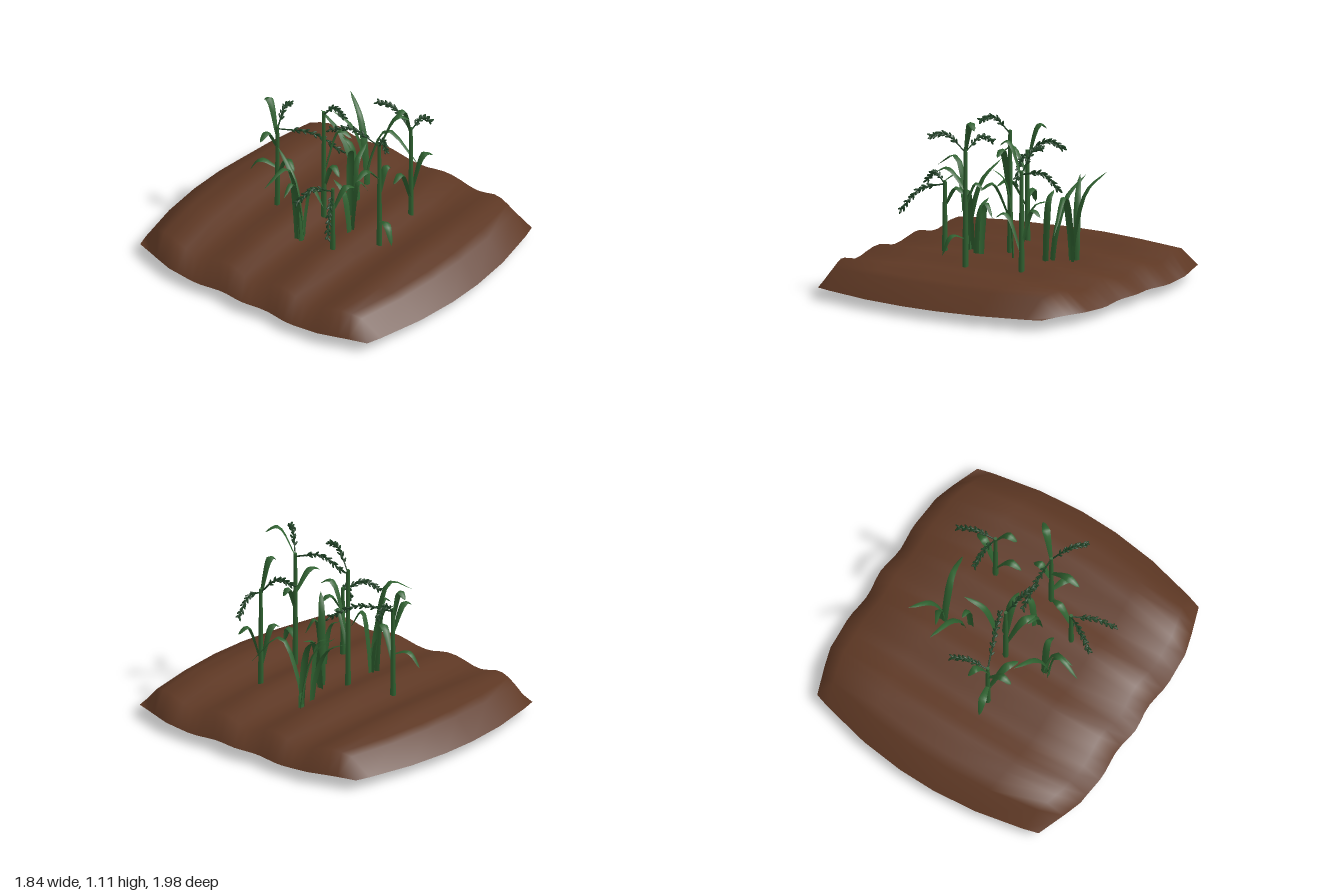
import * as THREE from 'three';
import { mergeGeometries } from 'three/addons/utils/BufferGeometryUtils.js';

const soilMat = new THREE.MeshStandardMaterial({ name: 'brown soil', color: 0x5e3824, side: THREE.DoubleSide });
const leafMat = new THREE.MeshStandardMaterial({ name: 'leaf green', color: 0x2f6130, side: THREE.DoubleSide });
const grainMat = new THREE.MeshStandardMaterial({ name: 'dark grain green', color: 0x1f4325 });

function part(name, geometry, material) {
  const mesh = new THREE.Mesh(geometry, material);
  mesh.name = name;
  return mesh;
}

function surface(pos, idx) {
  const g = new THREE.BufferGeometry();
  g.setAttribute('position', new THREE.Float32BufferAttribute(pos, 3));
  g.setIndex(idx);
  g.computeVertexNormals();
  return g;
}

// Open, furrowed soil sheet whose rim drops to its lower edge
function soil() {
  const rowCount = 26;
  const cols = [-1, -0.88, -0.5, -0.15, 0.15, 0.5, 0.88, 1];
  const pos = [], idx = [];
  for (let r = 0; r <= rowCount; r++) {
    const endRow = r === 0 || r === rowCount;
    const v = endRow ? Math.sign(r - 1) : ((r - rowCount / 2) / (rowCount / 2 - 1)) * 0.87;
    cols.forEach((u, c) => {
      const av = Math.abs(v), au = Math.abs(u);
      const wide = 0.91 - 0.11 * Math.max(0, (av - 0.64) / 0.36) + 0.012 * Math.cos(v * 15) * (1 - av);
      const x = u * wide, z = v * (0.995 - 0.125 * au * au);
      const ridge = 0.15 - 0.025 * Math.cos((Math.PI * 2 * z) / 0.43);
      const rim = endRow || au === 1;
      const y = rim ? 0.065 + 0.005 * Math.cos(z * 9) : 0.06 + ridge * (1 - 0.2 * (x / 0.8) ** 2);
      pos.push(x, y, z);
      if (r && c) {
        const d = r * cols.length + c, b = d - cols.length;
        idx.push(b - 1, d - 1, b, b, d - 1, d);
      }
    });
  }
  return part('soilBed', surface(pos, idx), soilMat);
}

// Folded blade swept along a curve, tapering to a point
function blade(points, width, baseWidth) {
  const curve = new THREE.CatmullRomCurve3(points);
  const first = points[0], last = points[points.length - 1];
  const side = new THREE.Vector3(first.z - last.z, 0, last.x - first.x).normalize();
  const n = 10, pos = [], idx = [];
  for (let i = 0; i <= n; i++) {
    const t = i / n, p = curve.getPoint(t), tan = curve.getTangent(t);
    const w = (width / 2) * (t < 0.5 ? baseWidth + (1 - baseWidth) * t * 2 : Math.sqrt((1 - t) * 2) * 0.98 + 0.02);
    const fold = new THREE.Vector3().crossVectors(side, tan).multiplyScalar(w * 0.45);
    for (const s of [-1, 0, 1]) {
      const q = p.clone().addScaledVector(side, s * w);
      if (s === 0) q.add(fold);
      pos.push(q.x, q.y, q.z);
    }
    if (i) for (const k of [0, 1]) {
      const a = i * 3 + k - 3;
      idx.push(a, a + 1, a + 3, a + 1, a + 4, a + 3);
    }
  }
  return part('leafBlade', surface(pos, idx), leafMat);
}

// Leaf growing from a stalk, arching up before its tip
function stalkLeaf(start, tip) {
  const peak = start.clone().lerp(tip, 0.6).setY(Math.max(start.y, tip.y) + 0.03);
  return blade([start, peak, tip], 0.05, 0.4);
}

// Tuft of blades rooted in the ground; each blade is [tipX, tipZ, peakY, tipY]
function tuft(x, z, blades) {
  const group = new THREE.Group();
  group.name = 'grassTuft';
  blades.forEach(([tipX, tipZ, peakY, tipY], i) => {
    const root = new THREE.Vector3(x + 0.02 * Math.cos(i * 2), 0.05, z + 0.02 * Math.sin(i * 2));
    const tip = new THREE.Vector3(tipX, tipY, tipZ);
    const middle = root.clone().lerp(tip, 0.14).setY(peakY * 0.62);
    const peak = root.clone().lerp(tip, 0.45).setY(peakY);
    group.add(blade([root, middle, peak, tip], 0.045, 0.8));
  });
  return group;
}

// Arching seed head: thin stem with spiralling grains
function seedHead(start, tip) {
  const mid = start.clone().lerp(tip, 0.55);
  mid.y += 0.06;
  const curve = new THREE.CatmullRomCurve3([start, mid, tip]);
  const pieces = [new THREE.TubeGeometry(curve, 8, 0.005, 4).toNonIndexed()];
  const up = new THREE.Vector3(0, 1, 0), count = 26;
  for (let i = 0; i < count; i++) {
    const t = 0.22 + 0.78 * (i / (count - 1));
    const tan = curve.getTangent(t), a = i * 2.4;
    const s = new THREE.Vector3().crossVectors(tan, up).normalize();
    const out = s.clone().multiplyScalar(Math.cos(a))
      .addScaledVector(new THREE.Vector3().crossVectors(s, tan), Math.sin(a));
    const dir = tan.clone().addScaledVector(out, 0.7).normalize();
    const grain = new THREE.SphereGeometry(1, 5, 4).toNonIndexed();
    grain.scale(0.007, 0.018, 0.007);
    grain.applyQuaternion(new THREE.Quaternion().setFromUnitVectors(up, dir));
    const p = curve.getPoint(t).addScaledVector(out, 0.01);
    grain.translate(p.x, p.y, p.z);
    pieces.push(grain);
  }
  return part('seedHead', mergeGeometries(pieces), grainMat);
}

// Stalk with leaves [startHeight, tipX, tipY, tipZ] and seed heads [tipX, tipY, tipZ]
function plant(name, x, z, bottom, top, leaves, heads) {
  const group = new THREE.Group();
  group.name = name;
  const stalk = new THREE.CylinderGeometry(0.011, 0.02, top - bottom, 6);
  stalk.translate(x, (top + bottom) / 2, z);
  group.add(part('stalk', stalk, leafMat));
  for (const [h, ...tip] of leaves) {
    group.add(stalkLeaf(new THREE.Vector3(x, h, z), new THREE.Vector3(...tip)));
  }
  for (const tip of heads) {
    group.add(seedHead(new THREE.Vector3(x, top - 0.02, z), new THREE.Vector3(...tip)));
  }
  return group;
}

export function createModel() {
  const model = new THREE.Group();
  model.name = 'cropPatch';
  model.add(soil());

  // Seed-bearing plants
  model.add(plant('tallFrontPlant', -0.06, 0.38, 0.01, 0.92,
    [[0.9, 0.08, 1.07, 0.5], [0.66, -0.27, 0.75, 0.37], [0.55, 0.06, 0.68, 0.37], [0.36, -0.13, 0.28, 0.53]],
    [[-0.21, 1.01, 0.55], [-0.09, 0.89, 0.02]]));
  model.add(plant('leftFrontPlant', 0.31, 0.33, 0, 0.82,
    [[0.78, 0.16, 0.96, 0.34], [0.35, 0.47, 0.56, 0.37], [0.3, 0.13, 0.51, 0.34]],
    [[0.56, 0.72, 0.29], [0.3, 0.91, 0.08]]));
  model.add(plant('rightFrontPlant', -0.31, 0.22, 0.05, 0.66,
    [[0.5, -0.15, 0.6, 0.26]],
    [[-0.54, 0.47, 0.36], [-0.52, 0.61, 0.1]]));
  model.add(plant('backPlant', -0.1, -0.37, 0.05, 0.76,
    [[0.6, -0.27, 0.73, -0.37], [0.4, -0.19, 0.56, -0.17], [0.46, -0.15, 0.4, -0.54], [0.68, -0.05, 0.87, -0.51]],
    [[0.12, 0.78, -0.44], [0.06, 0.64, 0.01]]));
  model.add(plant('centrePlant', -0.03, -0.07, 0.01, 0.95,
    [[0.5, 0, 0.82, 0.12], [0.4, -0.12, 0.6, 0.12]],
    [[-0.11, 1.04, 0.15]]));

  // Leafy tufts
  model.add(tuft(-0.3, -0.03,
    [[-0.57, -0.1, 0.74, 0.66], [-0.22, -0.27, 0.6, 0.71], [-0.48, -0.02, 0.63, 0.58], [-0.26, 0.11, 0.57, 0.45]]));
  model.add(tuft(0.26, -0.04, [[0.32, -0.37, 0.55, 0.66], [0.24, -0.14, 0.56, 0.6]]));
  model.add(tuft(0.41, -0.09, [[0.33, -0.29, 0.58, 0.68], [0.52, -0.3, 0.62, 0.72], [0.49, 0.25, 0.62, 0.42]]));
  model.add(tuft(0.08, 0.03, [[0.31, -0.01, 0.52, 0.57], [-0.02, 0.14, 0.68, 0.75]]));
  model.add(tuft(-0.1, 0.18, [[0.03, 0.22, 0.55, 0.47], [-0.1, 0.06, 0.5, 0.55]]));
  return model;
}
